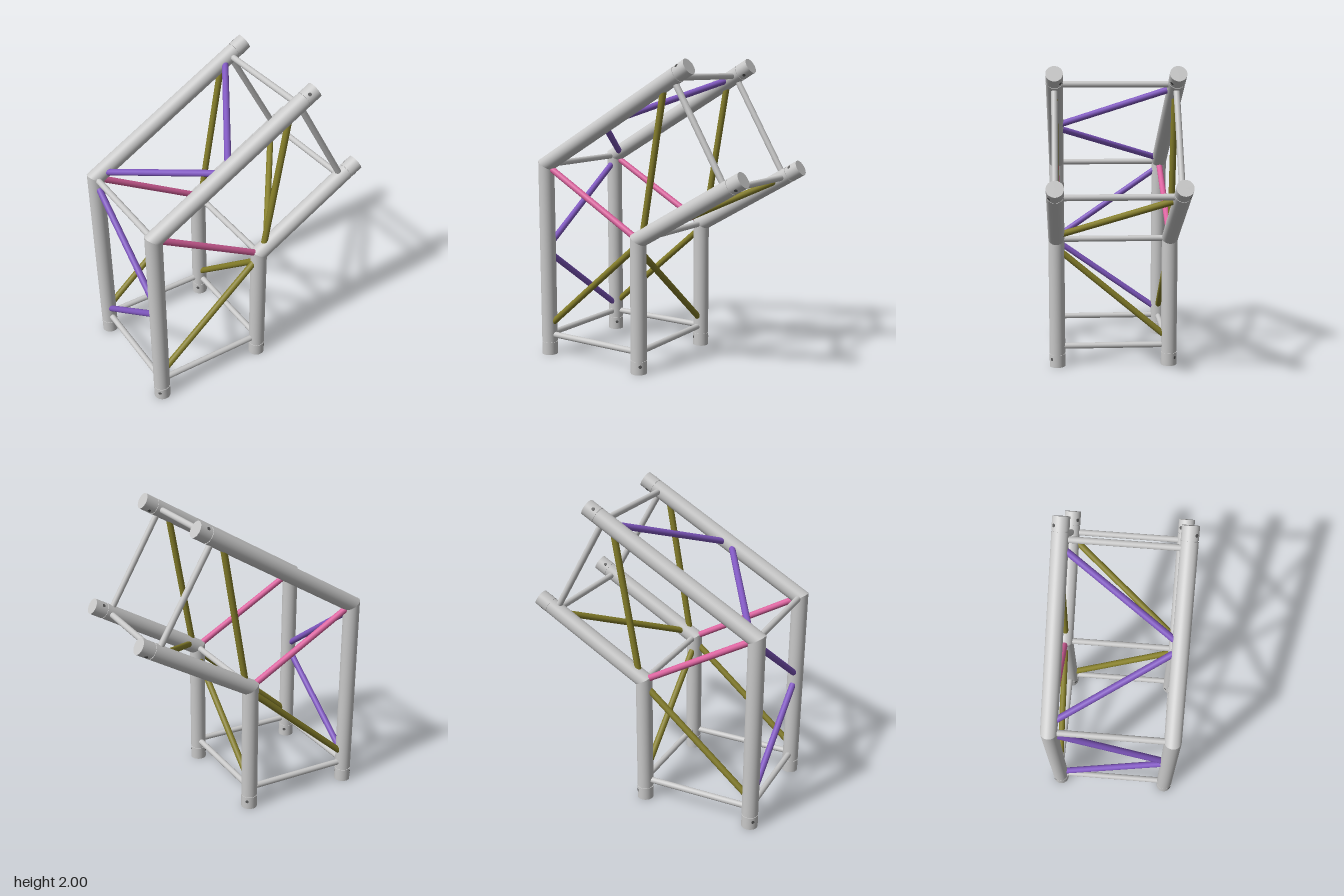
import * as THREE from 'three';

const R = 0.053;            // main tube radius
const Z = 0.377;            // tube axis distance from the middle
const TAN = Math.tan(Math.PI / 6);

const mat = (name, color) => {
  const m = new THREE.MeshStandardMaterial({ color });
  m.name = name;
  return m;
};

export function createModel() {
  const grey = mat('aluminiumGrey', 0xc8c8c8);
  const dark = mat('pinHoleDark', 0x5a5a5a);
  const olive = mat('olive', 0x857e2a);
  const purple = mat('purple', 0x8058c0);
  const pink = mat('pink', 0xdc639f);
  const model = new THREE.Group();
  model.name = 'angledTrussCorner';

  const add = (parent, name, geo, material) => {
    const m = new THREE.Mesh(geo, material);
    m.name = name;
    parent.add(m);
    return m;
  };

  // Round bar between two points
  const bar = (name, a, b, material, r = 0.02) => {
    const p = new THREE.Vector3(...a), q = new THREE.Vector3(...b);
    const d = q.clone().sub(p);
    const m = add(model, name, new THREE.CylinderGeometry(r, r, d.length(), 20), material);
    m.position.copy(p).add(q).multiplyScalar(0.5);
    m.quaternion.setFromUnitVectors(new THREE.Vector3(0, 1, 0), d.normalize());
  };

  // Main tube: free end with coupler at the origin, mitred end at y = length
  const chord = (name, length, k, side, front) => {
    const g = new THREE.Group();
    g.name = name;
    const piece = (part, r, y0, y1) => {
      const geo = new THREE.CylinderGeometry(r, r, y1 - y0, 40);
      geo.translate(0, (y0 + y1) / 2, 0);
      return add(g, part, geo, grey);
    };
    piece('coupler', R, 0, 0.086);
    piece('couplerGroove', R - 0.004, 0.085, 0.093);
    const pos = piece('tube', R, 0.092, length).geometry.attributes.position;
    for (let i = 0; i < pos.count; i++) {
      if (pos.getY(i) > length - 0.01) pos.setY(i, length - k * TAN * pos.getX(i));
    }
    // Pin hole through the coupler, showing on both sides
    const pin = add(g, 'pinHole', new THREE.CylinderGeometry(0.011, 0.011, 2 * R + 0.001, 16), dark);
    pin.position.y = 0.055;
    pin.quaternion.setFromUnitVectors(new THREE.Vector3(0, 1, 0),
      new THREE.Vector3(side * k, 0, front).normalize());
    model.add(g);
    return g;
  };

  // Outer and inner bends: joint point and arm end
  const bends = [
    { label: 'outer', side: -1, jx: -0.742, jy: 1.305, ex: 0.385 },
    { label: 'inner', side: 1, jx: 0.01, jy: 0.872, ex: 0.762 },
  ];
  const armY = (b, x) => b.jy + (x - b.jx) * TAN;
  const [outer, inner] = bends;
  const topX = 0.27, lowX = 0.645;

  for (const f of [1, -1]) {
    const z = f * Z;
    for (const b of bends) {
      chord(b.label + 'Post', b.jy, 1, b.side, f).position.set(b.jx, 0, z);
      const arm = chord(b.label + 'Arm', (b.ex - b.jx) / Math.cos(Math.PI / 6), -1, b.side, f);
      arm.position.set(b.ex, armY(b, b.ex), z);
      arm.rotation.z = 2 * Math.PI / 3;
    }
    // Bracing in the front and back faces
    bar('bottomRail', [outer.jx, 0.138, z], [inner.jx, 0.138, z], grey);
    bar('armEndBrace', [topX, armY(outer, topX), z], [lowX, armY(inner, lowX), z], grey);
    bar('postDiagonal', [-0.722, 0.212, z], [-0.01, 0.825, z], olive, 0.021);
    bar('armDiagonal', [0.046, 0.91, z], [0.207, 1.835, z], olive, 0.021);
    bar('cornerBrace', [-0.72, 1.292, z], [0, 0.878, z], pink, 0.021);
  }

  // Cross bars joining front and back
  const crossBars = [
    [outer.jx, 0.138], [inner.jx, 0.138], [outer.jx, outer.jy], [inner.jx, inner.jy],
    [topX, armY(outer, topX)], [lowX, armY(inner, lowX)],
  ];
  for (const [x, y] of crossBars) bar('crossBar', [x, y, -Z], [x, y, Z], grey);

  // Diagonals across the post faces
  const e = 0.35;
  bar('outerLowerDiagonal', [outer.jx, 0.695, e], [outer.jx, 0.2, -e], purple, 0.021);
  bar('outerUpperDiagonal', [outer.jx, 0.765, e], [outer.jx, 1.25, -e], purple, 0.021);
  bar('innerDiagonal', [inner.jx, 0.79, e], [inner.jx, 0.2, -e], olive, 0.021);

  // Diagonals across the arm faces
  const armDiagonal = (name, b, x0, x1, material) =>
    bar(name, [x0, armY(b, x0), e], [x1, armY(b, x1), -e], material, 0.021);
  armDiagonal('outerArmRearDiagonal', outer, -0.265, -0.68, purple);
  armDiagonal('outerArmForeDiagonal', outer, -0.21, 0.22, purple);
  armDiagonal('innerArmDiagonal', inner, 0.085, 0.6, olive);

  return model;
}
